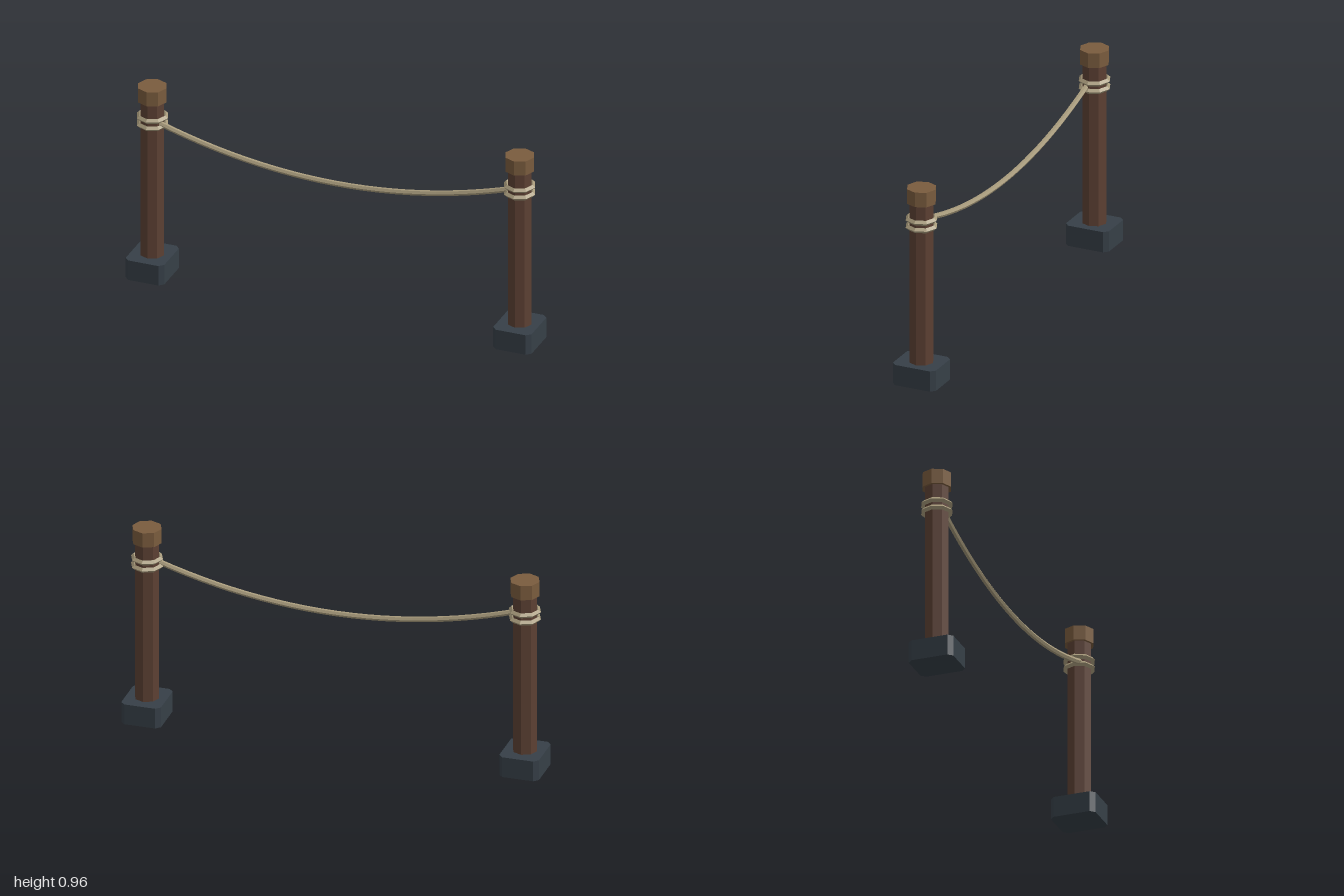
import * as THREE from 'three';

const mat = (color) => new THREE.MeshStandardMaterial({ color, flatShading: true });

function part(name, geometry, material, y = 0) {
  const mesh = new THREE.Mesh(geometry, material);
  mesh.name = name;
  mesh.position.y = y;
  return mesh;
}

// Rectangular block with chamfered vertical corners, standing on y = 0
function chamferedBlock(w, h, d, c) {
  const x = w / 2, z = d / 2;
  const corners = [
    [x, -z + c], [x, z - c], [x - c, z], [-x + c, z],
    [-x, z - c], [-x, -z + c], [-x + c, -z], [x - c, -z],
  ];
  const shape = new THREE.Shape(corners.map(([px, py]) => new THREE.Vector2(px, py)));
  return new THREE.ExtrudeGeometry(shape, { depth: h, bevelEnabled: false }).rotateX(-Math.PI / 2);
}

export function createModel() {
  const model = new THREE.Group();
  model.name = 'ropeBarrier';
  const wood = mat(0x5c4033), capWood = mat(0x7a5c3e), stone = mat(0x363f47), hemp = mat(0xa89b7c);

  // Two posts, each with a footing, cap and two rope wraps
  for (const [side, x] of [['left', 0.905], ['right', -0.905]]) {
    const post = new THREE.Group();
    post.name = side + 'Post';
    post.position.x = x;
    post.add(
      part('footing', chamferedBlock(0.19, 0.1, 0.218, 0.021), stone),
      part('shaft', new THREE.CylinderGeometry(0.058, 0.058, 0.81, 8), wood, 0.495),
      part('cap', new THREE.CylinderGeometry(0.07, 0.07, 0.072, 8), capWood, 0.924),
    );
    for (const y of [0.77, 0.807]) {
      post.add(part('ropeWrap', new THREE.TorusGeometry(0.064, 0.0125, 4, 8).rotateX(Math.PI / 2), hemp, y));
    }
    model.add(post);
  }

  // Sagging rope between the posts, slightly in front of their centres
  const end = 0.86, top = 0.785, low = 0.646, z = 0.019;
  const curve = new THREE.QuadraticBezierCurve3(
    new THREE.Vector3(-end, top, z),
    new THREE.Vector3(0, 2 * low - top, z),
    new THREE.Vector3(end, top, z),
  );
  model.add(part('rope', new THREE.TubeGeometry(curve, 24, 0.013, 6), hemp));
  return model;
}
